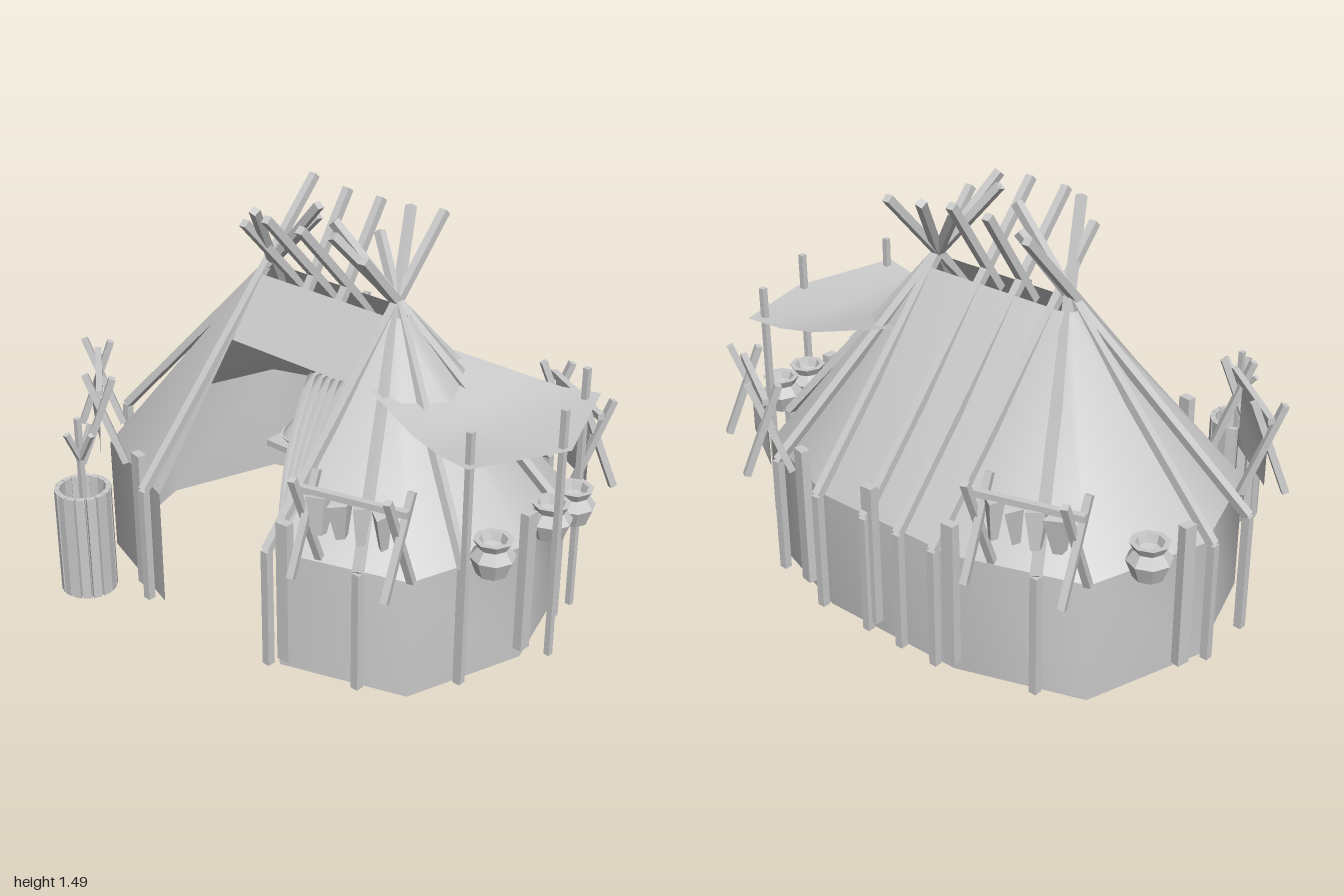
import * as THREE from 'three';

const mat = new THREE.MeshStandardMaterial({ color: 0xcccccc, side: THREE.DoubleSide });
const flat = new THREE.MeshStandardMaterial({ color: 0xcccccc, side: THREE.DoubleSide, flatShading: true });
const V = (x, y, z) => new THREE.Vector3(x, y, z);

function add(parent, name, geo, m = flat, x = 0, y = 0, z = 0) {
  const mesh = new THREE.Mesh(geo, m);
  mesh.name = name;
  mesh.position.set(x, y, z);
  parent.add(mesh);
  return mesh;
}

// square timber between two points
function pole(parent, name, a, b, w = 0.03, d = w) {
  const dir = b.clone().sub(a);
  const mesh = add(parent, name, new THREE.BoxGeometry(w, dir.length(), d));
  mesh.position.copy(a).add(b).multiplyScalar(0.5);
  mesh.quaternion.setFromUnitVectors(V(0, 1, 0), dir.normalize());
  return mesh;
}

// smooth sheet through rows of points
function sheet(parent, name, rows) {
  const n = rows[0].length, idx = [];
  for (let j = 0; j < rows.length - 1; j++)
    for (let i = 0; i < n - 1; i++) {
      const a = j * n + i;
      idx.push(a, a + 1, a + n, a + 1, a + n + 1, a + n);
    }
  const geo = new THREE.BufferGeometry().setFromPoints(rows.flat());
  geo.setIndex(idx);
  geo.computeVertexNormals();
  return add(parent, name, geo, mat);
}

const L = -0.34, R = 0.26, ZC = -0.09, EAVE = 0.46, TOP = 1.16;

function buildShell(g) {
  // half-octagon ends joined by a straight back, open at the doorway
  const half = [[0, 0.61], [0.455, 0.455], [0.6, 0], [0.455, -0.455], [0, -0.61]];
  const ring = [...half.map(([x, z]) => [L, -x, z]), ...half.slice().reverse().map(([x, z]) => [R, x, z])];
  const row = (y, s) => ring.map(([cx, x, z]) => V(cx + x * s, y, ZC + z * s));
  sheet(g, 'wall', [row(EAVE, 1), row(0, 1)]);
  sheet(g, 'roof', [row(TOP, 0.09), row(EAVE, 1)]);
  sheet(g, 'doorLintel', [[V(L, TOP, -0.035), V(R, TOP, -0.035)], [V(L, 0.95, 0.13), V(R, 0.95, 0.13)]]);
}

function buildPoles(g) {
  // [foot x, foot z, x where the pole crosses the ridge]
  const feet = [
    [-0.38, 0.56, -0.36], [-0.97, 0.12, L], [-0.98, -0.11, L], [-0.65, -0.64, L], [-0.29, -0.74, -0.3],
    [-0.13, -0.74, -0.13], [0.03, -0.74, 0.03], [0.26, -0.74, 0.26],
    [0.55, -0.66, R], [0.81, -0.36, R], [0.81, 0.2, R], [0.57, 0.46, R], [0.245, 0.56, 0.26],
  ];
  feet.forEach(([x, z, cx], i) => {
    const eave = V(x, EAVE + 0.02, z), cross = V(cx, 1.2, ZC);
    const tip = (i % 3 === 1 ? 1.4 : 1.47);
    const end = eave.clone().lerp(cross, (tip - eave.y) / (cross.y - eave.y));
    pole(g, 'wallPost', V(x, 0.02, z), eave);
    pole(g, 'roofPole', eave, end);
  });
  // short front halves of the ridge crossings
  for (const x of [-0.13, 0.03]) pole(g, 'ridgePole', V(x, 1.1, -0.02), V(x, 1.48, -0.27));
  // planks leaning on the wall
  const planks = [[-0.35, -0.7], [0.02, -0.7], [0.38, -0.67], [-0.93, -0.22], [-0.43, 0.51], [0.3, 0.51], [0.85, -0.08]];
  for (const [x, z] of planks) {
    const cx = x < 0 ? Math.max(x, L) : Math.min(x, R);
    const n = V(x - cx, 0, z - ZC).normalize();
    const p = pole(g, 'plank', V(x, 0.05, z).addScaledVector(n, 0.02), V(x, 0.6, z).addScaledVector(n, 0.02), 0.05, 0.035);
    p.rotation.y = Math.atan2(n.x, n.z);
  }
}

function buildCanopy(g) {
  const mid = [[0.27, 0.97, -0.1], [0.58, 0.88, -0.11], [0.74, 0.855, -0.11], [1.0, 0.87, -0.11]];
  const side = [[0.27, 0.97, 0.21], [0.58, 0.905, 0.32], [0.72, 0.89, 0.35], [0.86, 0.9, 0.38]];
  sheet(g, 'canopy', mid.map(([x, y, z], i) => [
    V(side[i][0], side[i][1], z - side[i][2]), V(x, y, z), V(side[i][0], side[i][1], z + side[i][2]),
  ]));
  for (const [x, z] of [[0.835, 0.225], [0.965, -0.11], [0.835, -0.43]])
    pole(g, 'canopyPole', V(x, 0.05, z), V(x, 1.01, z), 0.022);
}

// trestle with crossed legs carrying a hide or strips of food
function buildRack(parent, name, x, z, len, turn, hide) {
  const g = new THREE.Group();
  g.name = name;
  const h = len / 2;
  for (const s of [-1, 1]) for (const k of [-1, 1])
    pole(g, 'rackLeg', V(s * (h - 0.03) + k * 0.012, 0.475, -k * 0.08), V(s * (h - 0.03) - k * 0.02, 0.83, k * 0.05), 0.025);
  pole(g, 'rackBar', V(-h, 0.775, 0), V(h, 0.775, 0), 0.024);
  if (hide) {
    const rows = [];
    for (let j = 0; j <= 4; j++) {
      const bow = 0.02 * Math.sin(j / 4 * Math.PI);
      rows.push([-1, 0, 1].map(s => V(s * (h - 0.05), 0.78 - j * 0.0725, s ? 0.012 : 0.012 + bow)));
    }
    sheet(g, 'hide', rows);
  } else {
    for (let i = 0; i < 4; i++) {
      const m = add(g, 'hangingMeat', new THREE.CylinderGeometry(0.055, 0.025, 0.14, 4, 1), flat, (i - 1.5) * 0.075, 0.695, 0);
      m.scale.z = 0.65;
      m.rotation.set(0.1 * (i % 2 ? 1 : -1), Math.PI / 4 + i * 0.3, 0);
    }
  }
  g.position.set(x, 0, z);
  g.rotation.y = turn;
  parent.add(g);
}

function buildPots(g) {
  const prof = [[0.001, 0], [0.055, 0], [0.08, 0.065], [0.052, 0.1], [0.07, 0.13], [0.05, 0.13], [0.04, 0.1], [0.001, 0.09]]
    .map(([r, y]) => new THREE.Vector2(r, y));
  for (const [x, z] of [[0.88, 0.135], [0.88, -0.195], [0.88, -0.335], [-0.91, -0.38]])
    add(g, 'pot', new THREE.LatheGeometry(prof, 8), flat, x, 0.465, z);
}

function buildBasket(g) {
  const b = new THREE.Group();
  b.name = 'basket';
  add(b, 'basketBody', new THREE.CylinderGeometry(0.09, 0.09, 0.4, 16, 1, true), mat, 0, 0.28, 0);
  add(b, 'basketBase', new THREE.CylinderGeometry(0.09, 0.09, 0.02, 16), flat, 0, 0.085, 0);
  for (let i = 0; i < 16; i++) {
    const a = i / 16 * Math.PI * 2;
    const s = add(b, 'basketStave', new THREE.BoxGeometry(0.032, 0.415, 0.02), flat, Math.sin(a) * 0.093, 0.2775, Math.cos(a) * 0.093);
    s.rotation.y = a;
  }
  // forked sticks standing in the basket
  pole(b, 'stick', V(0, 0.1, 0), V(0, 0.765, 0), 0.02);
  for (const [x, z, y] of [[0.07, 0, 0.72], [-0.07, 0, 0.68], [0, 0.055, 0.72], [0, -0.055, 0.72]])
    pole(b, 'stickFork', V(0, 0.6, 0), V(x, y, z), 0.018);
  b.position.set(-0.555, 0, 0.7);
  g.add(b);
}

function buildInterior(g) {
  // gathered door flap hanging along the roof slope
  const rows = [];
  for (let j = 0; j <= 8; j++) {
    const t = j / 8, left = 0.05 + 0.12 * t * t, row = [];
    for (let i = 0; i <= 20; i++) {
      const u = i / 20, fold = 0.03 * (i % 4 < 2 ? 1 : -1) * (i % 2 ? 1 : 0);
      row.push(V(left + (0.23 - left) * u, 0.96 - 0.46 * t - 0.02 * (1 - u), 0.12 + 0.29 * t + fold * (1 - 0.3 * t)));
    }
    rows.push(row);
  }
  sheet(g, 'doorFlap', rows);
  // display board with heaped food
  add(g, 'displayBoard', new THREE.BoxGeometry(0.56, 0.025, 0.36), flat, -0.06, 0.46, -0.22);
  for (let r = 0; r < 2; r++) for (let i = 0; i < 3; i++) {
    const x = -0.24 + i * 0.19 + r * 0.05, z = -0.14 - r * 0.18;
    add(g, 'heapDish', new THREE.CylinderGeometry(0.09, 0.07, 0.025, 10), flat, x, 0.485, z);
    add(g, 'heap', new THREE.ConeGeometry(0.082, 0.11, 10), mat, x, 0.55, z);
  }
}

export function createModel() {
  const g = new THREE.Group();
  g.name = 'tentStall';
  buildShell(g);
  buildPoles(g);
  buildCanopy(g);
  buildRack(g, 'hideRackFront', -0.79, 0.4, 0.4, -0.69, true);
  buildRack(g, 'hideRackBack', 0.66, -0.65, 0.4, -0.53, true);
  buildRack(g, 'meatRackFront', 0.575, 0.5, 0.4, 0.27, false);
  buildRack(g, 'meatRackBack', -0.65, -0.69, 0.4, 0.27, false);
  buildPots(g);
  buildBasket(g);
  buildInterior(g);
  return g;
}
